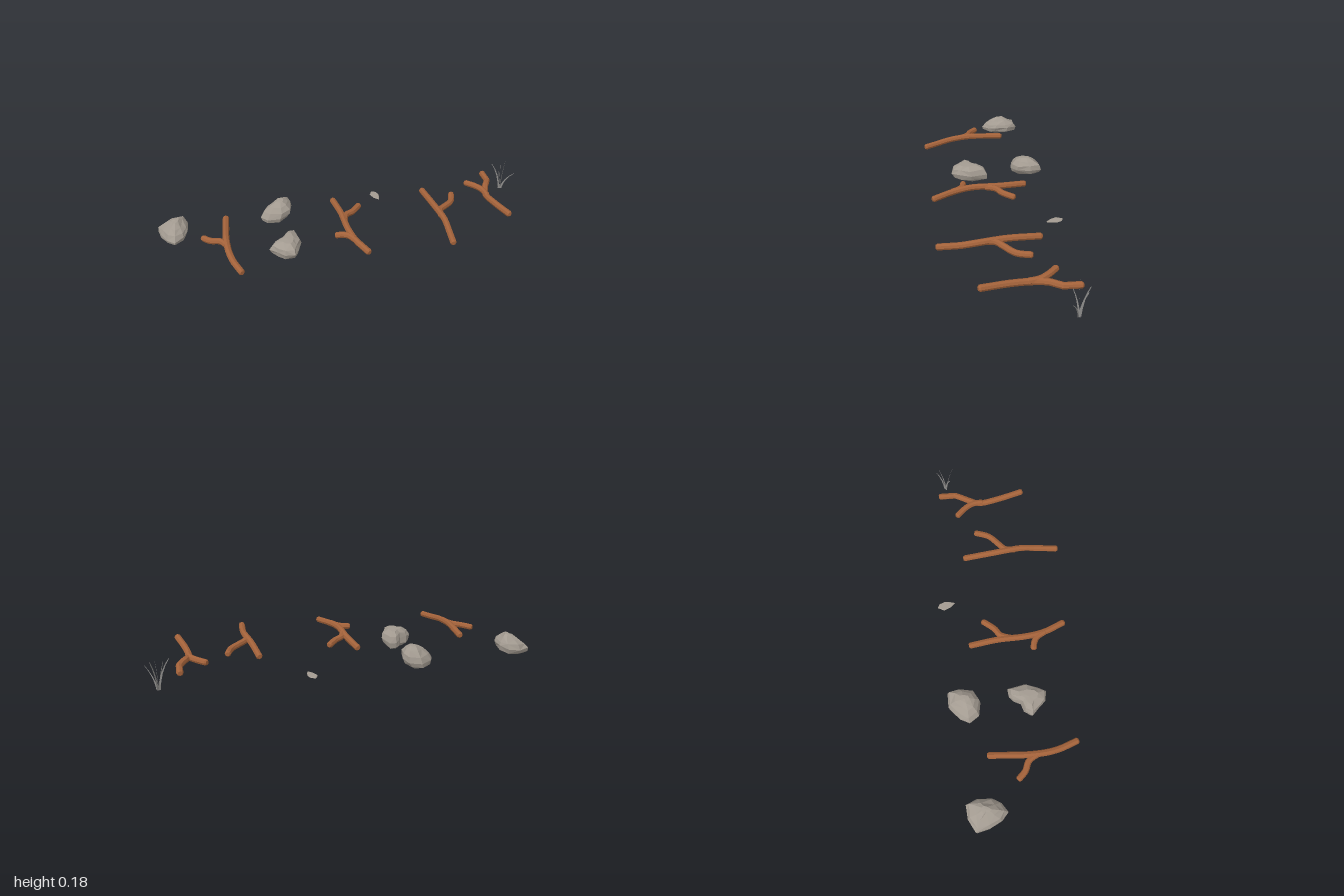
import * as THREE from 'three';

const wood = new THREE.MeshStandardMaterial({ name: 'brown wood', color: 0xa3623a, flatShading: true });
const stone = new THREE.MeshStandardMaterial({ name: 'grey stone', color: 0xa39b91, flatShading: true });
const grass = new THREE.MeshStandardMaterial({ name: 'dry grass', color: 0x8c8b89, flatShading: true, side: THREE.DoubleSide });

const vec = (p) => new THREE.Vector3(...p);

// Eight-sided limb along a curve, with bevelled closed ends
function limb(name, points, r) {
  const pts = points.map(vec);
  // Let the free end reach a little past its last centre point
  pts[0].add(pts[0].clone().sub(pts[1]).setLength(0.008));
  pts[pts.length - 1].add(pts[pts.length - 1].clone().sub(pts[pts.length - 2]).setLength(0.008));
  const curve = new THREE.CatmullRomCurve3(pts);
  const n = 16, sides = 8;
  const geo = new THREE.TubeGeometry(curve, n, r, sides, false);
  const pos = geo.attributes.position, length = curve.getLength();
  for (let i = 0; i <= n; i++) {
    const fromEnd = Math.min(i, n - i);
    const scale = [0, 0.65, 1][fromEnd] ?? 1;
    const old = curve.getPointAt(i / n);
    let u = fromEnd < 3 ? [0, 0, 0.008 / length][fromEnd] : i / n;
    if (fromEnd < 3 && i > n / 2) u = 1 - u;
    const centre = curve.getPointAt(u);
    for (let j = 0; j <= sides; j++) {
      const k = i * (sides + 1) + j;
      const p = new THREE.Vector3().fromBufferAttribute(pos, k).sub(old).multiplyScalar(scale).add(centre);
      pos.setXYZ(k, p.x, p.y, p.z);
    }
  }
  const mesh = new THREE.Mesh(geo, wood);
  mesh.name = name;
  return mesh;
}

function stick(name, main, ...branches) {
  const g = new THREE.Group();
  g.name = name;
  g.add(limb('stem', main, 0.017));
  branches.forEach((b) => g.add(limb('branch', b, 0.0165)));
  return g;
}

// Faceted stone: a plan outline stacked in rings of [height, scale];
// upper rings lean by lean[x, z], middle rings rise towards +x by tilt
function rock(name, outline, rings, { lean = [0, 0], tilt = 0, rough = 0, seed = 1 }) {
  const rand = () => (seed = (seed * 16807) % 2147483647) / 2147483647 - 0.5;
  const n = outline.length;
  const cx = outline.reduce((s, p) => s + p[0], 0) / n;
  const cz = outline.reduce((s, p) => s + p[1], 0) / n;
  const top = rings[rings.length - 1][0], base = rings[0][0];
  const verts = rings.map(([y, s]) => {
    const t = (y - base) / (top - base);
    const inner = s < 1 ? rough : 0;
    return outline.map(([x, z]) => new THREE.Vector3(
      cx + (x - cx) * s + lean[0] * t + rand() * inner,
      y + tilt * (x - cx) * s + rand() * (y > base && y < top ? rough : 0),
      cz + (z - cz) * s + lean[1] * t + rand() * inner));
  });
  const bottom = new THREE.Vector3(cx, base, cz);
  const peak = new THREE.Vector3(cx + lean[0], top + rough * 0.2, cz + lean[1]);
  const tris = [];
  for (let i = 0; i < n; i++) {
    const j = (i + 1) % n;
    for (let k = 0; k + 1 < rings.length; k++) {
      const a = verts[k][i], b = verts[k][j], c = verts[k + 1][j], d = verts[k + 1][i];
      if ((i + k) % 2) tris.push(a, d, c, a, c, b);
      else tris.push(a, d, b, d, c, b);
    }
    tris.push(bottom, verts[0][i], verts[0][j]);
    tris.push(peak, verts[rings.length - 1][j], verts[rings.length - 1][i]);
  }
  const geo = new THREE.BufferGeometry().setFromPoints(tris);
  geo.computeVertexNormals();
  const mesh = new THREE.Mesh(geo, stone);
  mesh.name = name;
  return mesh;
}

// Tapering blade: a flat strip standing in the vertical plane in which it bends
function blade(base, tip) {
  const a = vec(base), c = vec(tip);
  const mid = a.clone().lerp(c, 0.2).setY(a.y + (c.y - a.y) * 0.6);
  const curve = new THREE.QuadraticBezierCurve3(a, mid, c);
  const across = c.clone().sub(a).setY(0).normalize();
  const n = 4, tris = [];
  const edge = (i, s) => curve.getPoint(i / n).addScaledVector(across, s * 0.006 * (1 - 0.7 * i / n));
  for (let i = 0; i < n; i++) {
    const p = edge(i, -1), q = edge(i, 1), r = edge(i + 1, 1), t = edge(i + 1, -1);
    tris.push(p, q, r, p, r, t);
  }
  const geo = new THREE.BufferGeometry().setFromPoints(tris);
  geo.computeVertexNormals();
  const mesh = new THREE.Mesh(geo, grass);
  mesh.name = 'grassBlade';
  return mesh;
}

export function createModel() {
  const model = new THREE.Group();
  model.name = 'forestDebris';

  // Forked sticks
  model.add(
    stick('farRightStick',
      [[-0.65, 0.113, -0.23], [-0.672, 0.115, -0.13], [-0.69, 0.115, -0.045], [-0.7, 0.105, 0.07], [-0.69, 0.093, 0.16], [-0.675, 0.09, 0.222]],
      [[-0.795, 0.1, -0.11], [-0.765, 0.102, -0.07], [-0.72, 0.108, -0.04], [-0.695, 0.11, 0.02]]),
    stick('doubleForkedStick',
      [[-0.065, 0.115, -0.195], [-0.068, 0.122, -0.05], [-0.085, 0.126, 0.1], [-0.08, 0.118, 0.2], [-0.05, 0.11, 0.31]],
      [[0.05, 0.113, -0.1], [-0.005, 0.116, -0.05], [-0.045, 0.12, -0.03], [-0.073, 0.122, 0.02]],
      [[-0.155, 0.115, 0.125], [-0.125, 0.117, 0.135], [-0.1, 0.119, 0.155], [-0.082, 0.12, 0.2]]),
    stick('longStick',
      [[0.435, 0.115, -0.117], [0.425, 0.127, 0.05], [0.42, 0.125, 0.2], [0.405, 0.115, 0.28], [0.38, 0.11, 0.385]],
      [[0.57, 0.115, -0.025], [0.535, 0.114, 0.04], [0.47, 0.12, 0.085], [0.435, 0.124, 0.11], [0.42, 0.124, 0.16]]),
    stick('farLeftStick',
      [[0.842, 0.112, -0.17], [0.832, 0.114, -0.095], [0.79, 0.118, -0.035], [0.755, 0.108, 0.03], [0.75, 0.116, 0.13], [0.76, 0.128, 0.278]],
      [[0.7, 0.117, -0.1], [0.735, 0.117, -0.05], [0.755, 0.115, 0], [0.753, 0.113, 0.05]]));

  // Boulders
  model.add(
    rock('cornerBoulder',
      [[-1, -0.375], [-0.93, -0.4], [-0.86, -0.395], [-0.845, -0.335], [-0.86, -0.26], [-0.89, -0.22], [-0.94, -0.195], [-0.975, -0.235], [-0.995, -0.3]],
      [[0.012, 0.66], [0.028, 0.94], [0.05, 1], [0.072, 0.84], [0.094, 0.55], [0.113, 0.22]],
      { lean: [0.018, 0], tilt: 0.12, rough: 0.009, seed: 11 }),
    rock('backBoulder',
      [[-0.355, -0.38], [-0.285, -0.37], [-0.28, -0.305], [-0.31, -0.235], [-0.37, -0.213], [-0.435, -0.235], [-0.46, -0.29], [-0.43, -0.335]],
      [[0.012, 0.62], [0.026, 0.88], [0.05, 1], [0.08, 0.86], [0.105, 0.58], [0.121, 0.25]],
      { lean: [0.025, 0.01], tilt: 0.12, rough: 0.009, seed: 23 }),
    rock('notchedBoulder',
      [[-0.322, -0.065], [-0.318, 0.03], [-0.35, 0.09], [-0.38, 0.13], [-0.43, 0.112], [-0.455, 0.075], [-0.49, 0.03], [-0.455, 0], [-0.41, -0.01], [-0.385, -0.048], [-0.36, -0.067]],
      [[0.003, 0.55], [0.022, 0.9], [0.052, 1], [0.078, 0.86], [0.098, 0.48]],
      { lean: [0, 0.015], rough: 0.009, seed: 37 }));

  // Flat stone chip
  model.add(rock('stoneChip',
    [[0.212, -0.32], [0.232, -0.305], [0.239, -0.278], [0.233, -0.25], [0.22, -0.222], [0.2, -0.25], [0.19, -0.288]],
    [[0.037, 0.85], [0.039, 1], [0.042, 0.88]], {}));

  // Grass tuft
  const tuft = new THREE.Group();
  tuft.name = 'grassTuft';
  [
    [[0.936, 0.02, -0.12], [0.885, 0.18, -0.14]],
    [[0.934, 0.02, -0.125], [0.905, 0.155, -0.1]],
    [[0.94, 0.02, -0.127], [0.953, 0.187, -0.163]],
    [[0.943, 0.02, -0.122], [0.975, 0.176, -0.145]],
    [[0.945, 0.02, -0.118], [0.99, 0.135, -0.068]],
  ].forEach((b) => tuft.add(blade(...b)));
  model.add(tuft);
  return model;
}
